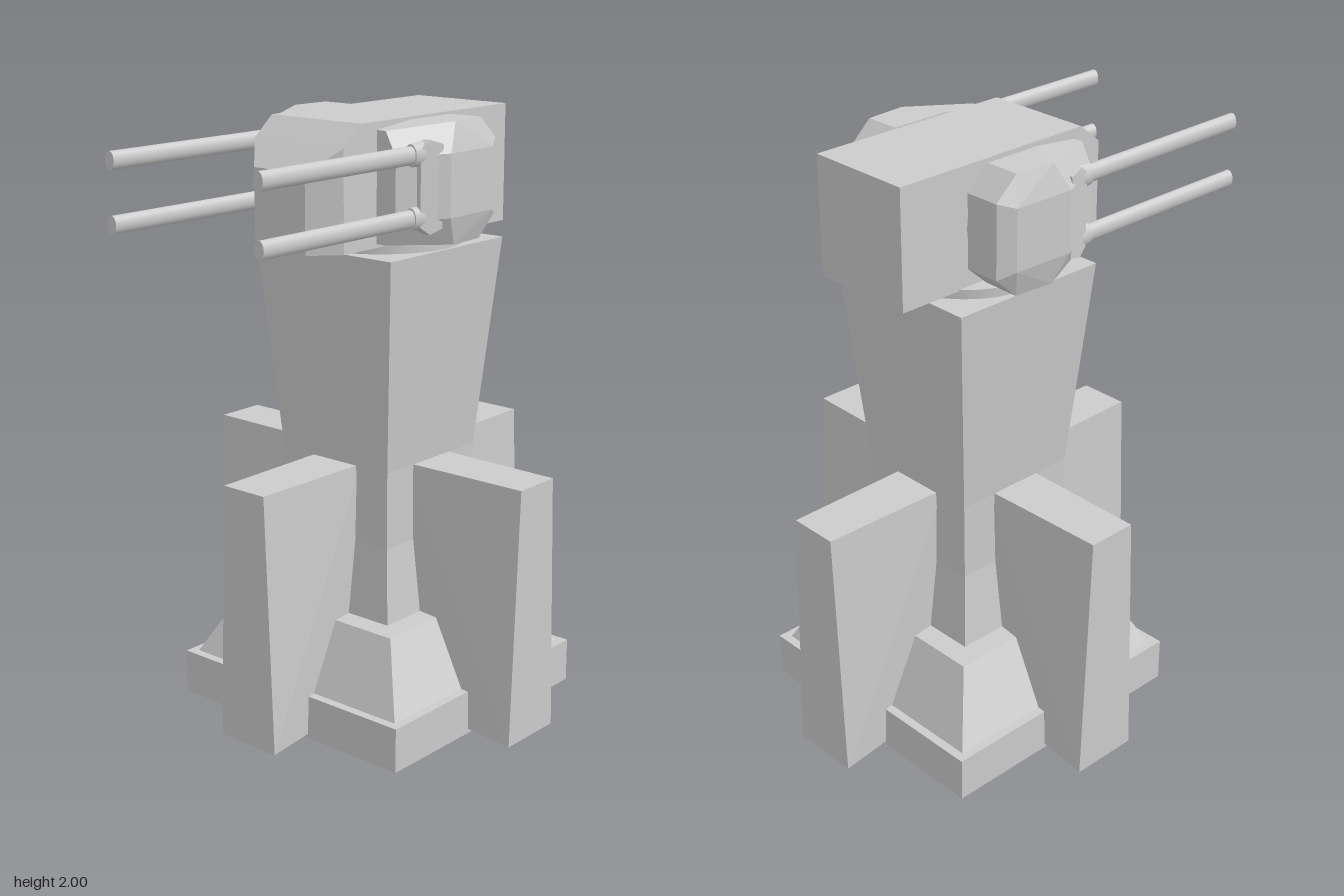
import * as THREE from 'three';
import { ConvexGeometry } from 'three/addons/geometries/ConvexGeometry.js';

const CZ = -0.118; // z of the tower's vertical axis

export function createModel() {
  const root = new THREE.Group();
  const flat = new THREE.MeshStandardMaterial({ color: 0xcccccc, flatShading: true });
  const smooth = new THREE.MeshStandardMaterial({ color: 0xcccccc });

  const add = (name, geometry, material = flat, parent = root) => {
    const mesh = new THREE.Mesh(geometry, material);
    mesh.name = name;
    parent.add(mesh);
    return mesh;
  };
  // Faceted solid wrapped around a few corner points
  const hull = (points) => new ConvexGeometry(points.map((p) => new THREE.Vector3(...p)));
  // Points repeated for both signs of x
  const bothSides = (points) => points.flatMap(([x, y, z]) => [[x, y, z], [-x, y, z]]);
  // Square section tapering from half width a at y0 to b at y1
  const taper = (name, y0, a, y1, b) => {
    const corners = [[a, y0], [b, y1]].flatMap(([r, y]) => [[r, y, r], [r, y, -r]]);
    add(name, hull(bothSides(corners))).position.z = CZ;
  };

  // Plinth and column
  taper('basePlate', 0, 0.47, 0.15, 0.47);
  taper('baseSlope', 0.15, 0.44, 0.37, 0.325);
  taper('columnFoot', 0.36, 0.25, 0.62, 0.222);
  taper('columnWaist', 0.62, 0.222, 0.88, 0.225);
  taper('columnShaft', 0.88, 0.225, 1.585, 0.285);

  // Four buttress fins around the column
  const finGeometry = hull(bothSides([
    [0.063, 0.015, 0.2], [0.118, 0.015, 0.652],
    [0.093, 0.88, 0.2], [0.085, 0.88, 0.652],
  ]));
  for (let i = 0; i < 4; i++) {
    const fin = add('buttressFin', finGeometry);
    fin.position.z = CZ;
    fin.rotation.y = (i * Math.PI) / 2;
  }

  // Turntable under the head
  add('turntable', new THREE.CylinderGeometry(0.275, 0.275, 0.04, 32), smooth)
    .position.set(0, 1.595, CZ);

  // Head with a sloped brow and bevelled front corners
  add('head', hull(bothSides([
    [0.185, 1.61, -0.54], [0.185, 2, -0.54], [0.185, 2, 0.19],
    [0.185, 1.934, 0.27], [0.185, 1.61, 0.27],
    [0.105, 1.86, 0.356], [0.105, 1.61, 0.356],
  ])));

  // Gun pods, mirrored on each side of the head
  const podMid = 1.803;
  const podHalf = [
    [0.205, 0.192, -0.22], [0.325, 0.192, -0.22], [0.335, 0.192, -0.08], [0.205, 0.192, -0.02],
    [0.205, 0.175, 0.14], [0.24, 0.175, 0.14], [0.28, 0.1, 0.14],
    [0.205, 0.12, -0.3], [0.325, 0.12, -0.3],
    [0.355, 0.1, -0.245], [0.36, 0.1, -0.03],
  ];
  const plateHalf = [
    [0.265, 0.12, 0.075], [0.325, 0.12, 0.075], [0.265, 0.145, 0.04],
    [0.335, 0.145, 0.04], [0.265, 0.145, -0.01], [0.345, 0.13, -0.01],
  ];
  const bothEnds = (points) =>
    points.flatMap(([x, d, z]) => [[x, podMid + d, z], [x, podMid - d, z]]);

  for (const side of [1, -1]) {
    const pod = new THREE.Group();
    pod.name = side > 0 ? 'leftGunPod' : 'rightGunPod';
    root.add(pod);
    const flip = (points) => points.map(([x, y, z]) => [side * x, y, z]);

    add('podShell', hull(flip(bothEnds(podHalf))), flat, pod);
    add('gunPlate', hull(flip(bothEnds(plateHalf))), flat, pod);

    const pivot = add('pivotDisc', new THREE.CylinderGeometry(0.183, 0.183, 0.04, 32), smooth, pod);
    pivot.rotation.z = Math.PI / 2;
    pivot.position.set(side * 0.195, 1.8, -0.102);

    // Upper and lower barrels, slightly oval, each in a short socket
    for (const y of [1.905, 1.711]) {
      const rod = (name, rFront, rBack, z0, z1) => {
        const geometry = new THREE.CylinderGeometry(rFront, rBack, z1 - z0, 16);
        geometry.rotateX(Math.PI / 2).scale(0.68, 1, 1);
        add(name, geometry, smooth, pod).position.set(side * 0.305, y, (z0 + z1) / 2);
      };
      rod('barrel', 0.029, 0.029, 0, 0.765);
      rod('barrelSocket', 0.035, 0.044, 0, 0.1);
    }
  }
  return root;
}
